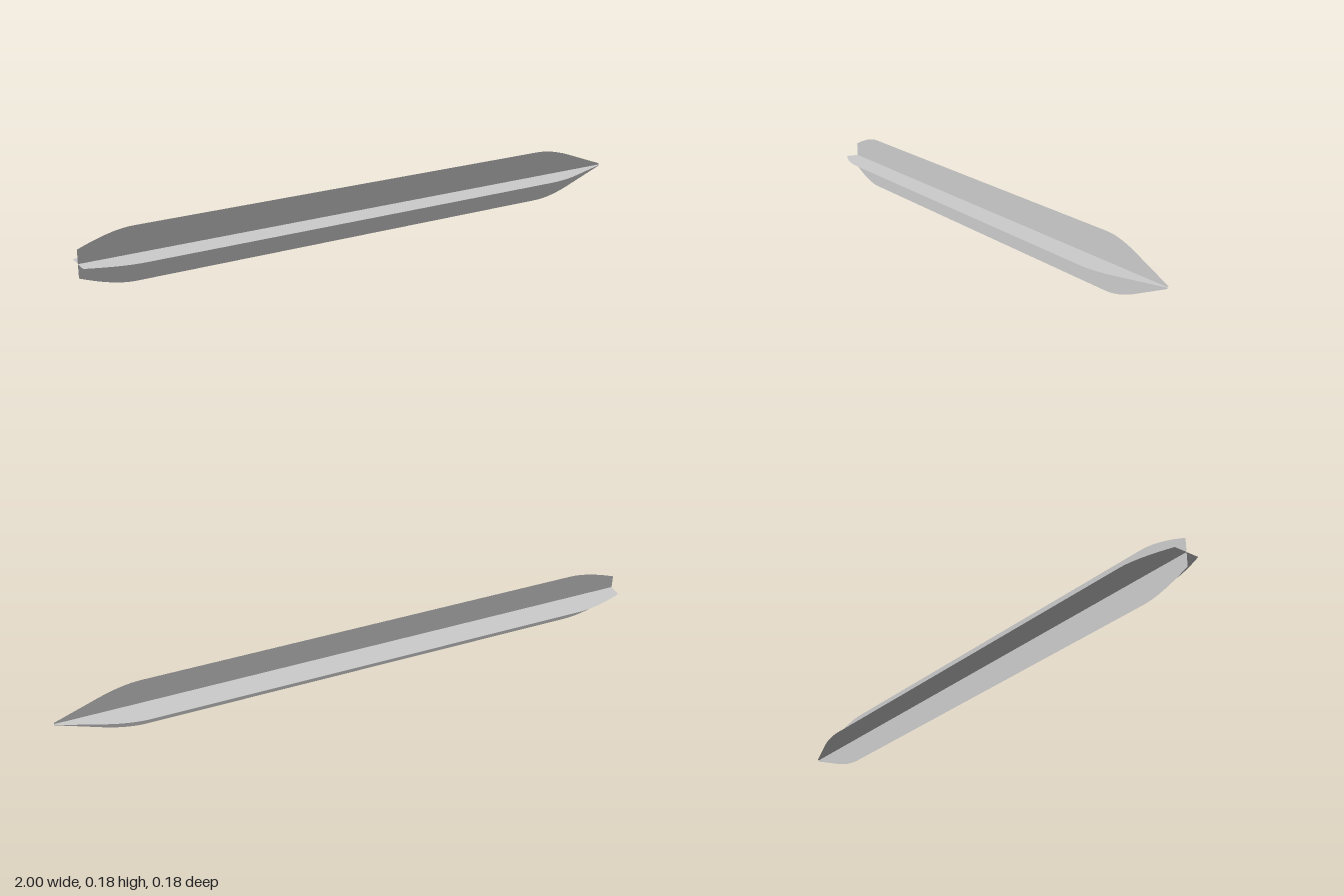
import * as THREE from 'three';

const HALF = 0.09; // half width of each blade

// Outline of one flat blade: blunt tail at -x, pointed tip at +x
function bladeOutline() {
  const s = new THREE.Shape();
  s.moveTo(-1, -0.046);
  s.quadraticCurveTo(-0.89, -HALF, -0.82, -HALF);
  s.lineTo(0.71, -HALF);
  s.quadraticCurveTo(0.78, -HALF, 0.87, -0.054);
  s.lineTo(1, -0.005);
  s.lineTo(1, 0.005);
  s.lineTo(0.87, 0.054);
  s.quadraticCurveTo(0.78, HALF, 0.71, HALF);
  s.lineTo(-0.82, HALF);
  s.quadraticCurveTo(-0.89, HALF, -1, 0.046);
  s.closePath();
  return s;
}

export function createModel() {
  const model = new THREE.Group();
  model.name = 'crossedBlades';
  const material = new THREE.MeshStandardMaterial({ color: 0xcccccc, side: THREE.DoubleSide });
  const geometry = new THREE.ShapeGeometry(bladeOutline(), 8);

  // Two thin blades crossing at right angles along the long axis
  [['uprightBlade', 0], ['flatBlade', -Math.PI / 2]].forEach(([name, angle]) => {
    const blade = new THREE.Mesh(geometry, material);
    blade.name = name;
    blade.rotation.x = angle;
    blade.position.y = HALF;
    model.add(blade);
  });
  return model;
}
